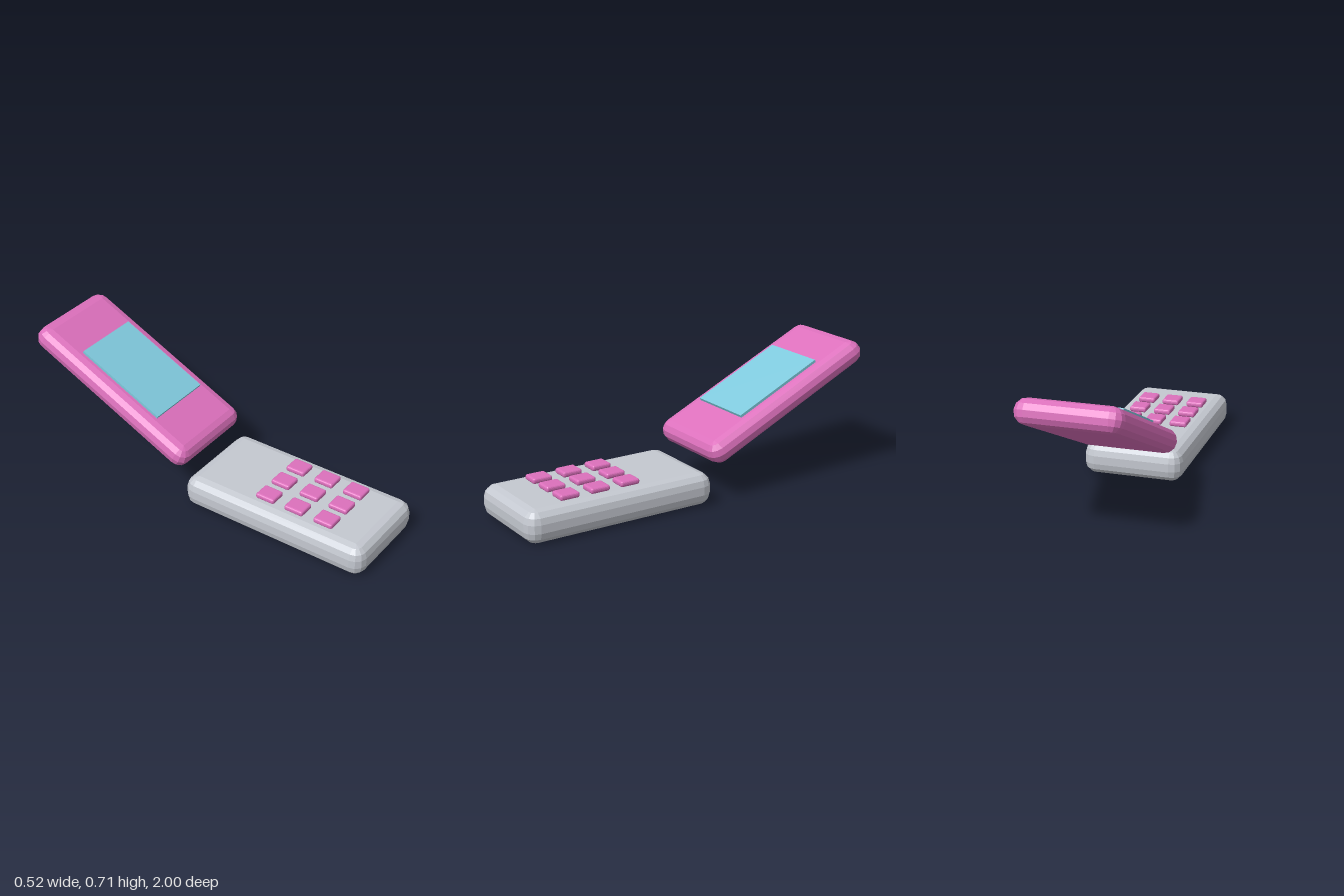
import * as THREE from 'three';
import { ConvexGeometry } from 'three/addons/geometries/ConvexGeometry.js';

// Box with every edge rounded in three flat facets
function bevelledBox(w, h, d, r) {
  const points = [];
  for (const sx of [-1, 1]) for (const sy of [-1, 1]) for (const sz of [-1, 1]) {
    for (let i = 0; i <= 3; i++) {
      const lat = (i * Math.PI) / 6;
      for (let j = 0; j <= (i === 3 ? 0 : 3); j++) {
        const lon = (j * Math.PI) / 6;
        points.push(new THREE.Vector3(
          sx * (w / 2 - r + r * Math.cos(lat) * Math.cos(lon)),
          sy * (h / 2 - r + r * Math.sin(lat)),
          sz * (d / 2 - r + r * Math.cos(lat) * Math.sin(lon))
        ));
      }
    }
  }
  return new ConvexGeometry(points);
}

function material(name, color) {
  const m = new THREE.MeshStandardMaterial({ color });
  m.name = name;
  return m;
}

function part(parent, name, geometry, mat, x, y, z) {
  const mesh = new THREE.Mesh(geometry, mat);
  mesh.name = name;
  mesh.position.set(x, y, z);
  parent.add(mesh);
  return mesh;
}

export function createModel() {
  const grey = material('silver grey', 0xc4c8d0);
  const pink = material('pink', 0xdc70bc);
  const blue = material('screen blue', 0x7fc9dc);

  const model = new THREE.Group();
  model.name = 'flipPhone';

  // Lower body, lying flat
  part(model, 'base', bevelledBox(0.524, 0.168, 1.043, 0.0625), grey, 0, 0.084, 0.4785);

  // Three by three keypad
  const keypad = new THREE.Group();
  keypad.name = 'keypad';
  model.add(keypad);
  const keyShape = bevelledBox(0.093, 0.029, 0.106, 0.011);
  for (const z of [0.401, 0.568, 0.736]) {
    for (const x of [-0.137, 0, 0.137]) part(keypad, 'key', keyShape, pink, x, 0.181, z);
  }

  // Tilted lid carrying the screen
  const lid = new THREE.Group();
  lid.name = 'lid';
  lid.position.set(0, 0.4525, -0.5215);
  lid.rotation.x = THREE.MathUtils.degToRad(25);
  model.add(lid);
  part(lid, 'lidShell', bevelledBox(0.524, 0.126, 1.043, 0.0625), pink, 0, 0, 0);
  part(lid, 'screen', new THREE.BoxGeometry(0.366, 0.02, 0.521), blue, 0, 0.067, 0);

  return model;
}
